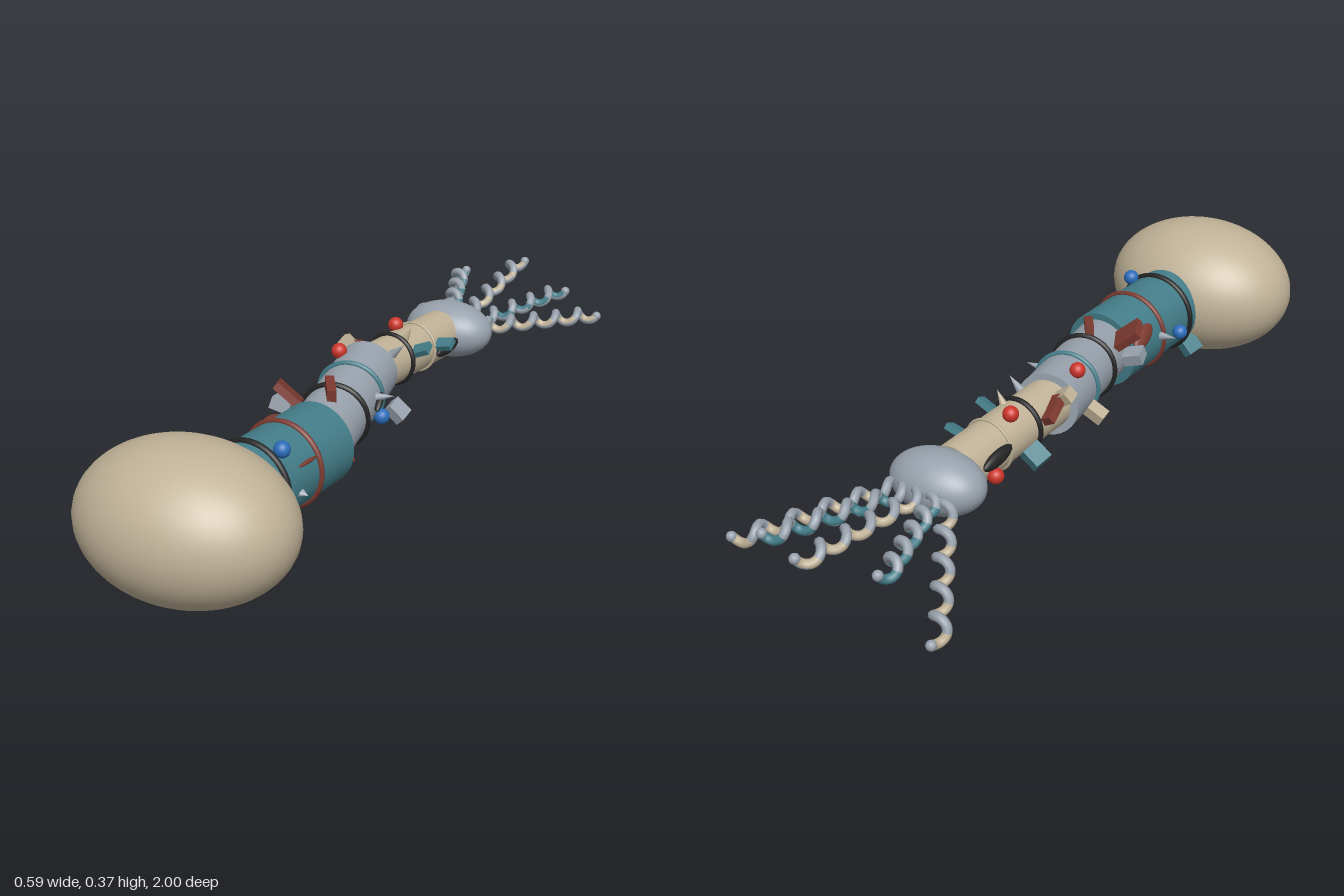
import * as THREE from 'three';

const V = (x, y, z) => new THREE.Vector3(x, y, z);
const UP = V(0, 1, 0);

// One material per colour
function paint(name, color) {
  const m = new THREE.MeshStandardMaterial({ color });
  m.name = name;
  return m;
}
const M = {
  tan: paint('tan', 0xc0b297), teal: paint('teal', 0x437d89), grey: paint('grey', 0x98a1ac),
  maroon: paint('maroon', 0x7d3a30), black: paint('black', 0x232323),
  red: paint('red', 0xcc352b), blue: paint('blue', 0x2b6dba),
};

// Body segments, front to back: axis ends and radius
const SEGMENTS = [
  { name: 'frontSegment', mat: M.teal, a: V(-0.005, 0.18, 0.63), b: V(0.018, 0.172, 0.295), r: 0.103 },
  { name: 'middleSegment', mat: M.grey, a: V(0.02, 0.176, 0.305), b: V(-0.048, 0.203, -0.09), r: 0.081 },
  { name: 'rearSegment', mat: M.tan, a: V(-0.045, 0.203, -0.07), b: V(-0.014, 0.185, -0.45), r: 0.064 },
];

// Segment radius, axis point and forward direction at a given z
function spineAt(z) {
  const { a, b, r } = SEGMENTS[z > 0.3 ? 0 : z > -0.08 ? 1 : 2];
  const p = a.clone().lerp(b, (a.z - z) / (a.z - b.z));
  return { r, p, dir: a.clone().sub(b).normalize() };
}

function add(group, name, geo, mat, pos) {
  const mesh = new THREE.Mesh(geo, mat);
  mesh.name = name;
  if (pos) mesh.position.copy(pos);
  group.add(mesh);
  return mesh;
}

function subgroup(parent, name) {
  const group = new THREE.Group();
  group.name = name;
  parent.add(group);
  return group;
}

function ellipsoid(group, name, mat, pos, rx, ry, rz) {
  add(group, name, new THREE.SphereGeometry(1, 48, 32), mat, pos).scale.set(rx, ry, rz);
}

// Ring around the body at z
function band(group, mat, z, tube) {
  const { r, p, dir } = spineAt(z);
  const ring = add(group, 'band', new THREE.TorusGeometry(r + 0.002, tube, 8, 40), mat, p);
  ring.quaternion.setFromUnitVectors(V(0, 0, 1), dir);
}

const SHAPES = {
  box: () => new THREE.BoxGeometry(1, 1, 1),
  ball: () => new THREE.SphereGeometry(0.5, 20, 14),
  cone: () => new THREE.ConeGeometry(0.5, 1, 16),
};

// Fixes copies of a shape on the body. Size is across, outward and along the body;
// each spot is degrees from the top towards +x, then z
function attach(group, name, shape, mat, size, spin, lift, ...spots) {
  for (const [degrees, z] of spots) {
    const { r, p, dir } = spineAt(z);
    const out = UP.clone().addScaledVector(dir, -dir.y).normalize()
      .applyAxisAngle(dir, -THREE.MathUtils.degToRad(degrees));
    const mesh = add(group, name, SHAPES[shape](), mat, p.addScaledVector(out, r + lift));
    // keep the part at its stated z although the axis is tilted
    mesh.position.addScaledVector(dir, (z - mesh.position.z) / dir.z);
    const side = out.clone().cross(dir);
    mesh.quaternion.setFromRotationMatrix(new THREE.Matrix4().makeBasis(side, out, dir));
    mesh.rotateY(spin);
    mesh.scale.set(...size);
  }
}

// Corkscrew tendril, with alternate half turns coloured on their upper faces
class Corkscrew extends THREE.Curve {
  constructor(a, b, turns, radius) {
    super();
    Object.assign(this, { a, b, turns, radius });
    const d = b.clone().sub(a).normalize();
    this.u = d.clone().cross(UP).normalize();
    this.v = this.u.clone().cross(d);
  }
  getPoint(t) {
    const angle = t * this.turns * Math.PI * 2;
    return this.a.clone().lerp(this.b, t)
      .addScaledVector(this.u, Math.cos(angle) * this.radius)
      .addScaledVector(this.v, Math.sin(angle) * this.radius);
  }
}

function tendril(group, a, b, stripe) {
  const turns = 5, n = 120, m = 8, r = 0.0115;
  const curve = new Corkscrew(a, b, turns, 0.016);
  const geo = new THREE.TubeGeometry(curve, n, r, m);
  const normal = geo.attributes.normal;
  for (let j = 0; j < n; j++) {
    const inStripe = ((j / n) * turns) % 1 > 0.5;
    for (let i = 0; i < m; i++) {
      const ny = normal.getY(j * (m + 1) + i);
      geo.addGroup((j * m + i) * 6, 6, inStripe && ny > -0.2 ? 1 : 0);
    }
  }
  add(group, 'tendril', geo, [M.grey, stripe]);
  add(group, 'tendrilTip', new THREE.SphereGeometry(r * 1.1, 12, 8), M.grey, curve.getPoint(1));
}

export function createModel() {
  const model = new THREE.Group();
  model.name = 'segmentedCreature';

  // Large egg-shaped head and small tail bulb
  ellipsoid(model, 'head', M.tan, V(-0.025, 0.186, 0.793), 0.262, 0.183, 0.205);
  ellipsoid(model, 'tailBulb', M.grey, V(-0.008, 0.183, -0.503), 0.123, 0.076, 0.086);

  // Body cylinders
  for (const { name, mat, a, b, r } of SEGMENTS) {
    const geo = new THREE.CylinderGeometry(r, r, a.distanceTo(b), 40);
    const mesh = add(model, name, geo, mat, a.clone().lerp(b, 0.5));
    mesh.quaternion.setFromUnitVectors(UP, a.clone().sub(b).normalize());
  }

  // Bands
  const bands = subgroup(model, 'bands');
  band(bands, M.black, 0.572, 0.008);
  band(bands, M.maroon, 0.438, 0.007);
  band(bands, M.black, 0.165, 0.008);
  band(bands, M.teal, 0.043, 0.007);
  band(bands, M.black, -0.2, 0.007);
  band(bands, M.tan, -0.315, 0.004);

  // Round studs
  const studs = subgroup(model, 'studs');
  const stud = [0.04, 0.04, 0.04];
  attach(studs, 'blueStud', 'ball', M.blue, stud, 0, 0.015, [37, 0.55], [-90, 0.49], [119, 0.04]);
  attach(studs, 'redStud', 'ball', M.red, stud, 0, 0.012, [-35, -0.015], [-23, -0.272], [-108, -0.39]);

  // Blocks and plates
  const blocks = subgroup(model, 'blocks');
  attach(blocks, 'maroonBlock', 'box', M.maroon, [0.02, 0.075, 0.065], 0.4, 0.042, [-50, 0.25]);
  attach(blocks, 'maroonStrip', 'box', M.maroon, [0.022, 0.035, 0.08], 0.4, 0.01, [3, 0.21], [-62, -0.155]);
  attach(blocks, 'greyBlock', 'box', M.grey, [0.03, 0.05, 0.045], 0.3, 0.045, [-74, 0.228], [135, -0.079]);
  attach(blocks, 'tanBlock', 'box', M.tan, [0.03, 0.05, 0.035], 0.3, 0.022, [-54, -0.115], [-120, 0.03]);
  attach(blocks, 'tealBlock', 'box', M.teal, [0.03, 0.05, 0.05], 0.3, 0.024, [-124, -0.235], [-137, 0.6]);
  attach(blocks, 'tealPlate', 'box', M.teal, [0.016, 0.05, 0.035], 0.5, 0.022, [66, -0.215], [77, -0.325]);

  // Pegs
  const pegs = subgroup(model, 'pegs');
  const peg = [0.026, 0.05, 0.026];
  attach(pegs, 'greyPeg', 'cone', M.grey, peg, 0, 0.02, [79, 0.06], [47, -0.125], [-83, 0.42]);
  attach(pegs, 'greyStub', 'cone', M.grey, [0.02, 0.03, 0.034], 0.5, 0.004, [99, 0.525]);
  attach(pegs, 'tanPeg', 'cone', M.tan, peg, 0, 0.012, [27, -0.22]);
  attach(pegs, 'redPeg', 'cone', M.red, [0.03, 0.03, 0.03], 0, 0.012, [138, 0.22]);

  // Flattened leaves
  const leaves = subgroup(model, 'leaves');
  attach(leaves, 'maroonSliver', 'ball', M.maroon, [0.01, 0.015, 0.07], 0, 0, [65, 0.485]);
  attach(leaves, 'maroonLeaf', 'ball', M.maroon, [0.045, 0.025, 0.1], 0.3, 0.006, [-65, 0.335]);
  attach(leaves, 'blackSliver', 'ball', M.black, [0.014, 0.02, 0.06], 0.5, 0.006, [85, 0.07]);
  attach(leaves, 'blackLeaf', 'ball', M.black, [0.036, 0.026, 0.11], 0.1, 0.01, [91, -0.36], [-75, -0.38]);

  // Fan of five tendrils
  const tendrils = subgroup(model, 'tendrils');
  const tips = [V(-0.27, 0.062, -0.885), V(-0.155, 0.205, -0.905), V(0, 0.235, -0.985),
    V(0.165, 0.195, -0.905), V(0.272, 0.142, -0.89)];
  tips.forEach((tip, i) => {
    tendril(tendrils, V(-0.006 + (i - 2) * 0.034, 0.18, -0.565), tip, i % 2 ? M.teal : M.tan);
  });

  return model;
}
